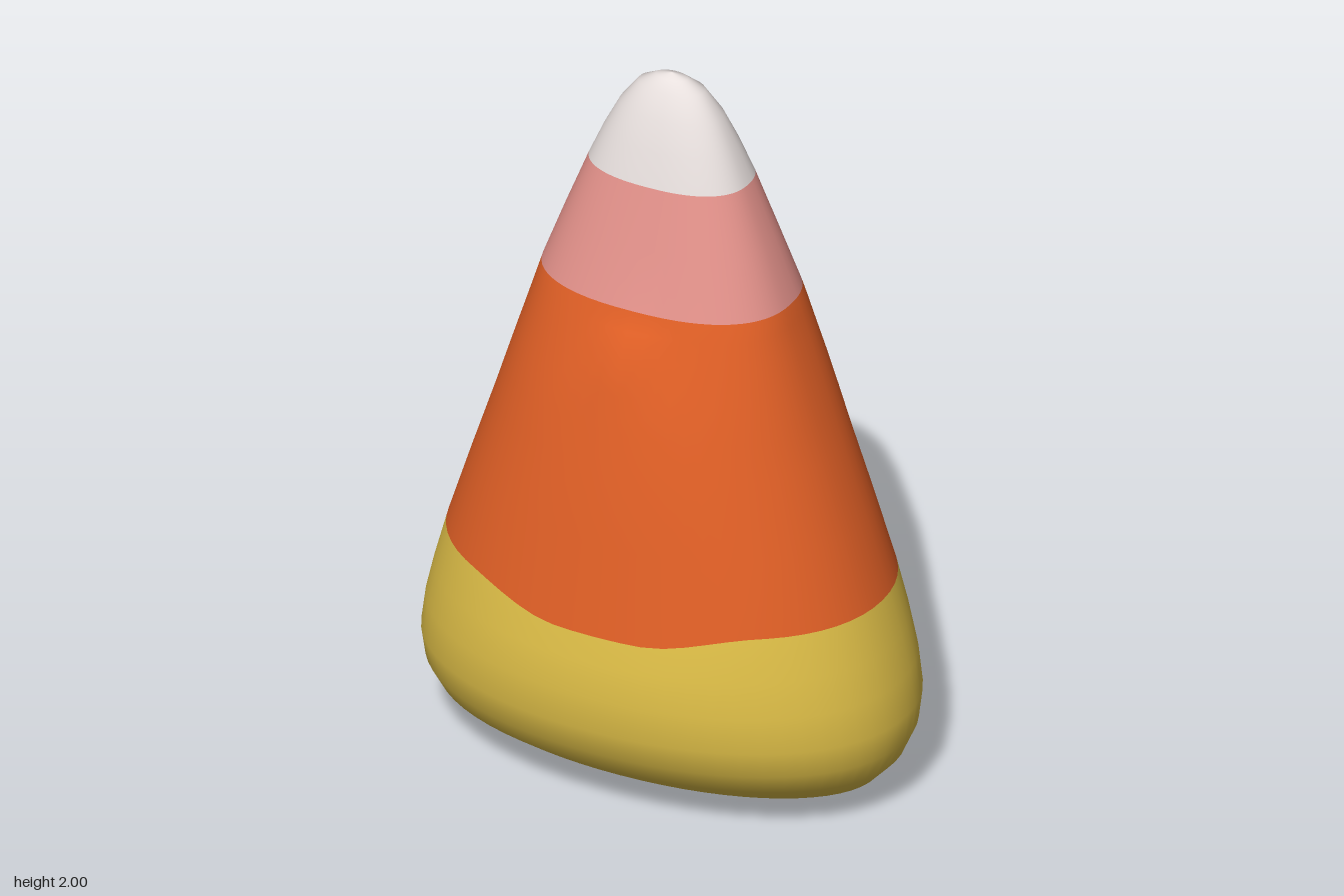
import * as THREE from 'three';

const SEGMENTS = 64;

// Cross-sections from bottom to top: height, half width, half depth, squareness, ridge height
const SECTIONS = [
  [0, 0.3, 0.012, 2, 0], [0.01, 0.42, 0.11, 2, 0], [0.03, 0.51, 0.2, 2, 0],
  [0.07, 0.585, 0.29, 2.05, 0], [0.13, 0.64, 0.37, 2.1, 0], [0.2, 0.67, 0.42, 2.1, 0],
  [0.28, 0.677, 0.447, 2.1, 0], [0.38, 0.662, 0.452, 2.1, 0], [0.48, 0.638, 0.444, 2.1, 0],
  [0.6, 0.605, 0.427, 2.1, 0], // yellow to orange
  [0.8, 0.541, 0.38, 2.15, 0.01], [1.0, 0.475, 0.335, 2.2, 0.015],
  [1.1, 0.443, 0.312, 2.25, 0.018], [1.2, 0.411, 0.287, 2.3, 0.022],
  [1.3, 0.379, 0.258, 2.35, 0.03], [1.36, 0.36, 0.24, 2.4, 0.01],
  [1.41, 0.345, 0.225, 2.4, 0], // orange to pink
  [1.57, 0.285, 0.179, 2.4, 0],
  [1.73, 0.222, 0.137, 2.4, 0], // pink to white
  [1.82, 0.183, 0.112, 2.3, 0], [1.9, 0.142, 0.085, 2.2, 0],
  [1.965, 0.092, 0.052, 2.1, 0], [1.99, 0.045, 0.025, 2, 0], [2, 0.002, 0.002, 2, 0],
];

const signedPower = (v, p) => Math.sign(v) * Math.abs(v) ** p;

// One point on a rounded-square ring, with the pointed ridge on the broad faces
function ringPoint([height, halfWidth, halfDepth, squareness, ridge], angle) {
  const x = halfWidth * signedPower(Math.cos(angle), 2 / squareness);
  let z = halfDepth * signedPower(Math.sin(angle), 2 / squareness);
  const ridgeWidth = 0.06 + 0.75 * Math.max(0, 1.4 - height);
  z += Math.sign(z) * ridge * Math.max(0, 1 - Math.abs(x) / ridgeWidth);
  // The yellow band's upper edge dips in the middle of the broad faces
  let y = height;
  if (height === 0.6) {
    const dip = 1 - THREE.MathUtils.smoothstep(Math.abs(x), 0.12, 0.42);
    y -= 0.05 * dip;
  }
  return [x, y, z];
}

export function createModel() {
  const material = (name, color) => {
    const m = new THREE.MeshStandardMaterial({ color });
    m.name = name;
    return m;
  };
  const materials = [
    material('yellow', 0xe0c048),
    material('orange', 0xe26026),
    material('pink', 0xe4928b),
    material('white', 0xe9e1df),
  ];
  const bandTops = [0.6, 1.41, 1.73, 2];

  // Rings of vertices
  const positions = [];
  for (const section of SECTIONS) {
    for (let i = 0; i < SEGMENTS; i++) {
      positions.push(...ringPoint(section, (i / SEGMENTS) * Math.PI * 2));
    }
  }

  // Skin between the rings, one material group per colour band
  const geometry = new THREE.BufferGeometry();
  const index = [];
  let start = 0;
  for (let r = 0; r < SECTIONS.length - 1; r++) {
    for (let i = 0; i < SEGMENTS; i++) {
      const j = (i + 1) % SEGMENTS;
      const a = r * SEGMENTS + i, b = r * SEGMENTS + j;
      const c = a + SEGMENTS, d = b + SEGMENTS;
      index.push(a, c, b, b, c, d);
    }
    const band = bandTops.indexOf(SECTIONS[r + 1][0]);
    if (band >= 0) {
      geometry.addGroup(start, index.length - start, band);
      start = index.length;
    }
  }

  // Close the bottom and the tip
  const last = (SECTIONS.length - 1) * SEGMENTS;
  const capStart = index.length;
  for (let i = 1; i < SEGMENTS - 1; i++) index.push(0, i, i + 1);
  geometry.addGroup(capStart, index.length - capStart, 0);
  const tipStart = index.length;
  for (let i = 1; i < SEGMENTS - 1; i++) index.push(last, last + i + 1, last + i);
  geometry.addGroup(tipStart, index.length - tipStart, 3);

  geometry.setAttribute('position', new THREE.Float32BufferAttribute(positions, 3));
  geometry.setIndex(index);
  geometry.computeVertexNormals();

  const candy = new THREE.Mesh(geometry, materials);
  candy.name = 'candyBody';
  const group = new THREE.Group();
  group.name = 'candyCorn';
  group.add(candy);
  return group;
}
